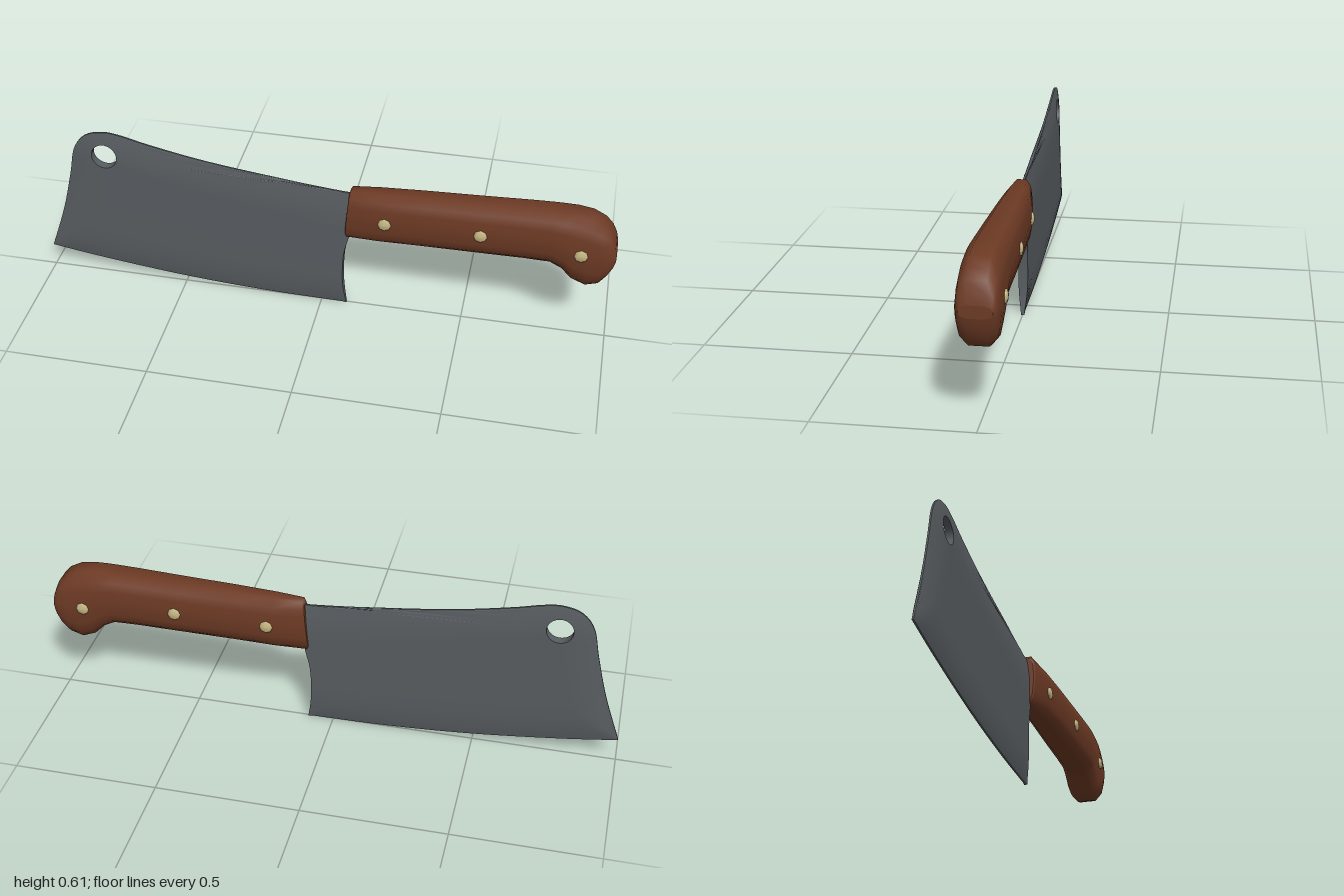
import * as THREE from 'three';

const steel = new THREE.MeshStandardMaterial({ name: 'steel', color: 0x585d61 });
const wood = new THREE.MeshStandardMaterial({ name: 'wood', color: 0x6d3a24 });
const brass = new THREE.MeshStandardMaterial({ name: 'brass', color: 0xc8b884 });

// Skin between closed loops of [x, y, z] points
function skin(loops, { flat = false, caps = false } = {}) {
  const n = loops[0].length, pos = loops.flat(2), idx = [];
  for (let i = 0; i < loops.length - 1; i++) {
    for (let j = 0; j < n; j++) {
      const k = (j + 1) % n, a = i * n, b = a + n;
      idx.push(a + j, b + j, b + k, a + j, b + k, a + k);
    }
  }
  if (caps) {
    [loops[0], loops[loops.length - 1]].forEach((loop, end) => {
      const c = pos.length / 3;
      pos.push(...[0, 1, 2].map((d) => loop.reduce((s, p) => s + p[d], 0) / n), ...loop.flat());
      for (let j = 0; j < n; j++) {
        const p = c + 1 + j, q = c + 1 + ((j + 1) % n);
        idx.push(c, end ? q : p, end ? p : q);
      }
    });
  }
  let g = new THREE.BufferGeometry();
  g.setAttribute('position', new THREE.Float32BufferAttribute(pos, 3));
  g.setIndex(idx);
  if (flat) g = g.toNonIndexed();
  g.computeVertexNormals();
  return g;
}

function add(group, name, geometry, material) {
  const mesh = new THREE.Mesh(geometry, material);
  mesh.name = name;
  group.add(mesh);
  return mesh;
}

// Spline through a few points, without its last point
function edge(points, count) {
  const curve = new THREE.SplineCurve(points.map(([x, y]) => new THREE.Vector2(x, y)));
  return curve.getPoints(count).slice(0, -1);
}

function createBlade() {
  const group = new THREE.Group();
  group.name = 'blade';
  const cutting = edge([[-1, 0.09], [-0.8, 0.06], [-0.5, 0.026], [-0.2, 0.007], [0.09, 0.002]], 44);
  const heel = edge([[0.09, 0.002], [0.077, 0.1], [0.08, 0.22], [0.1, 0.32], [0.11, 0.478]], 16);
  const spine = edge([[0.11, 0.478], [-0.1, 0.497], [-0.4, 0.536], [-0.6, 0.575], [-0.7, 0.6],
    [-0.765, 0.607], [-0.83, 0.588], [-0.875, 0.53], [-0.9, 0.42], [-0.94, 0.265], [-1, 0.09]], 80);
  const outline = [...cutting, ...heel, ...spine];
  const thinEdges = [...cutting, ...spine];

  // Half thickness falls away towards the cutting edge, tip and spine
  const half = (p) => {
    const d = Math.min(...thinEdges.map((e) => e.distanceTo(p)));
    return 0.003 + 0.013 * (1 - (1 - Math.min(d / 0.12, 1)) ** 2);
  };

  // Rings run from the hanging hole out to the outline
  const hole = new THREE.Vector2(-0.765, 0.515);
  const rings = [0, 0.2, 0.4, 0.6, 0.75, 0.85, 0.92, 0.97, 1].map((t) => outline.map((o) => {
    const rim = o.clone().sub(hole).setLength(0.045).add(hole);
    const p = rim.lerp(o, t);
    return [p.x, p.y, half(p)];
  }));
  const back = rings.map((r) => r.map(([x, y, z]) => [x, y, -z]));
  const last = rings.length - 1;
  add(group, 'bladeFront', skin(rings), steel);
  add(group, 'bladeBack', skin([...back].reverse()), steel);
  add(group, 'bladeRim', skin([rings[last], back[last]], { flat: true }), steel);
  add(group, 'hangingHole', skin([back[0], rings[0]], { flat: true }), steel);
  return group;
}

function createHandle() {
  // Bottom x, bottom y, top x, top y, half width
  const stations = [
    [0.084, 0.313, 0.098, 0.486, 0.029], [0.09, 0.305, 0.105, 0.497, 0.036],
    [0.2, 0.307, 0.2, 0.501, 0.05], [0.35, 0.312, 0.35, 0.507, 0.056],
    [0.55, 0.316, 0.55, 0.513, 0.062], [0.7, 0.319, 0.7, 0.519, 0.065],
    [0.785, 0.318, 0.78, 0.521, 0.067], [0.825, 0.298, 0.82, 0.521, 0.068],
    [0.862, 0.26, 0.86, 0.52, 0.068], [0.91, 0.24, 0.91, 0.512, 0.068],
    [0.952, 0.253, 0.952, 0.49, 0.067], [0.977, 0.287, 0.977, 0.463, 0.064],
    [0.993, 0.325, 0.993, 0.428, 0.059], [1, 0.355, 1, 0.395, 0.05],
  ];
  // Cross-section of the grip as [z, y], counted from the front side over the top
  const quarter = [[1, 0.12], [0.95, 0.45], [0.84, 0.76], [0.46, 1]];
  const upper = [...quarter, ...quarter.map(([z, y]) => [-z, y]).reverse()];
  const section = [...upper, ...upper.map(([z, y]) => [-z, -y])];
  const loops = stations.map(([xb, yb, xt, yt, w]) => section.map(([z, y]) => {
    const s = (y + 1) / 2;
    return [xb + (xt - xb) * s, yb + (yt - yb) * s, z * w];
  }));
  return skin(loops, { caps: true });
}

export function createModel() {
  const model = new THREE.Group();
  model.name = 'cleaver';
  model.add(createBlade());
  add(model, 'handle', createHandle(), wood);

  // Domed rivet heads on both sides of the handle
  const profile = [[0.023, -0.014], [0.023, 0.003], [0.016, 0.008], [0, 0.01]]
    .map(([r, h]) => new THREE.Vector2(r, h));
  const rivet = new THREE.LatheGeometry(profile, 8).rotateX(Math.PI / 2);
  for (const [x, y, z] of [[0.225, 0.4, 0.05], [0.55, 0.41, 0.061], [0.885, 0.384, 0.067]]) {
    for (const side of [1, -1]) {
      const head = add(model, side > 0 ? 'frontRivet' : 'backRivet', rivet, brass);
      head.position.set(x, y, z * side);
      if (side < 0) head.rotation.y = Math.PI;
    }
  }
  return model;
}
